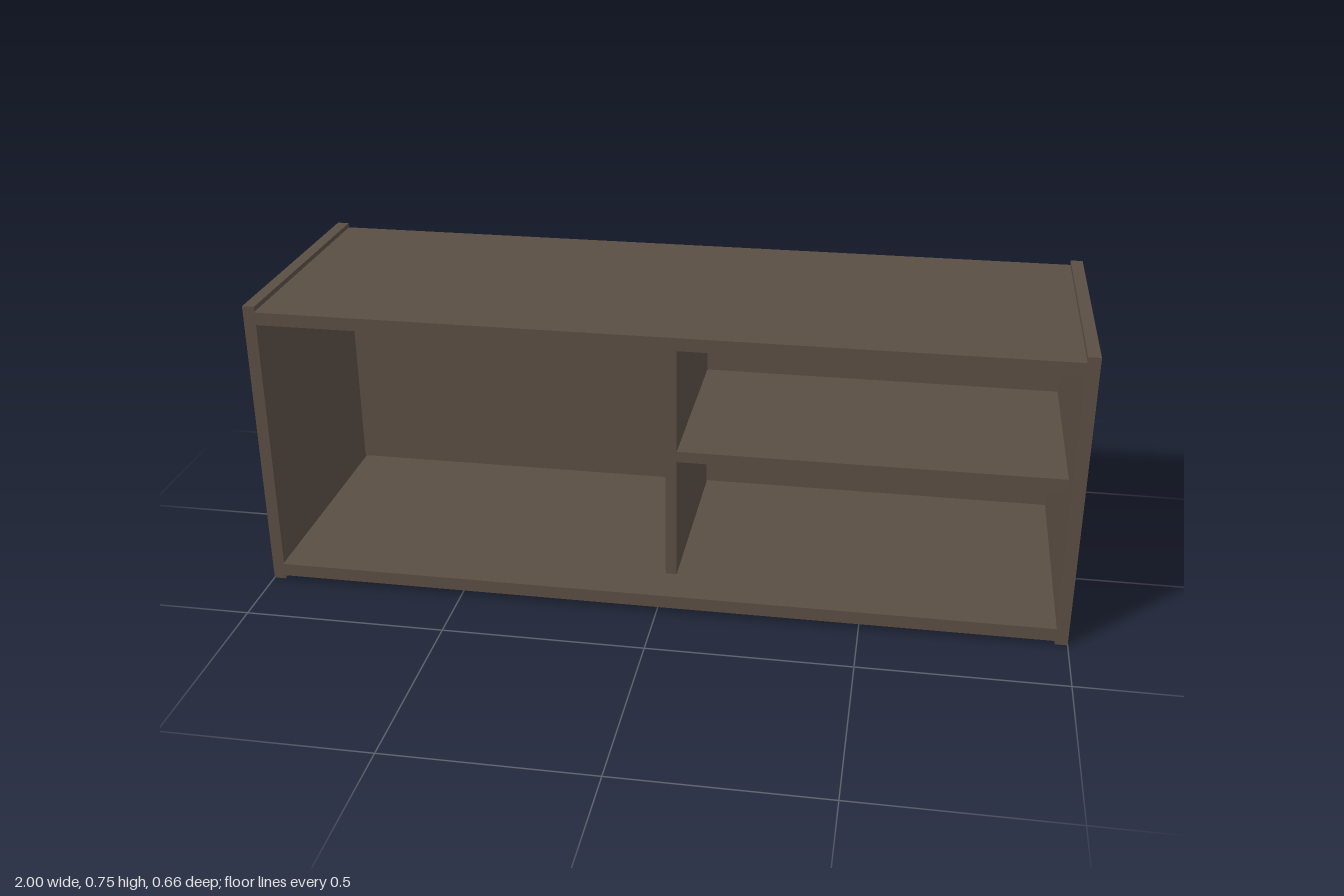
import * as THREE from 'three';

export function createModel() {
  const model = new THREE.Group();
  model.name = 'openCabinet';
  const wood = new THREE.MeshStandardMaterial({ color: 0x5a4e44 });
  wood.name = 'dark brown wood';

  // A flat board given by its lower and upper limits on each axis
  function board(name, [x0, x1], [y0, y1], [z0, z1]) {
    const mesh = new THREE.Mesh(new THREE.BoxGeometry(x1 - x0, y1 - y0, z1 - z0), wood);
    mesh.position.set((x0 + x1) / 2, (y0 + y1) / 2, (z0 + z1) / 2);
    mesh.name = name;
    model.add(mesh);
  }

  const inner = 0.97;
  const width = [-inner, inner];

  // End panels, standing slightly proud of the top and bottom
  board('leftSide', [inner, 1], [0, 0.746], [-0.331, 0.325]);
  board('rightSide', [-1, -inner], [0, 0.746], [-0.331, 0.325]);

  // Top and bottom, reaching just past the end panels at the front
  board('top', width, [0.702, 0.734], [-0.331, 0.331]);
  board('bottom', width, [0.013, 0.046], [-0.331, 0.331]);

  // Recessed back, with a narrow slot above the bottom
  board('back', width, [0.051, 0.702], [-0.317, -0.302]);

  // Set-back divider and shelf
  board('divider', [0.005, 0.033], [0.046, 0.702], [-0.302, 0.22]);
  board('shelf', [0.033, inner], [0.362, 0.39], [-0.302, 0.22]);

  return model;
}
